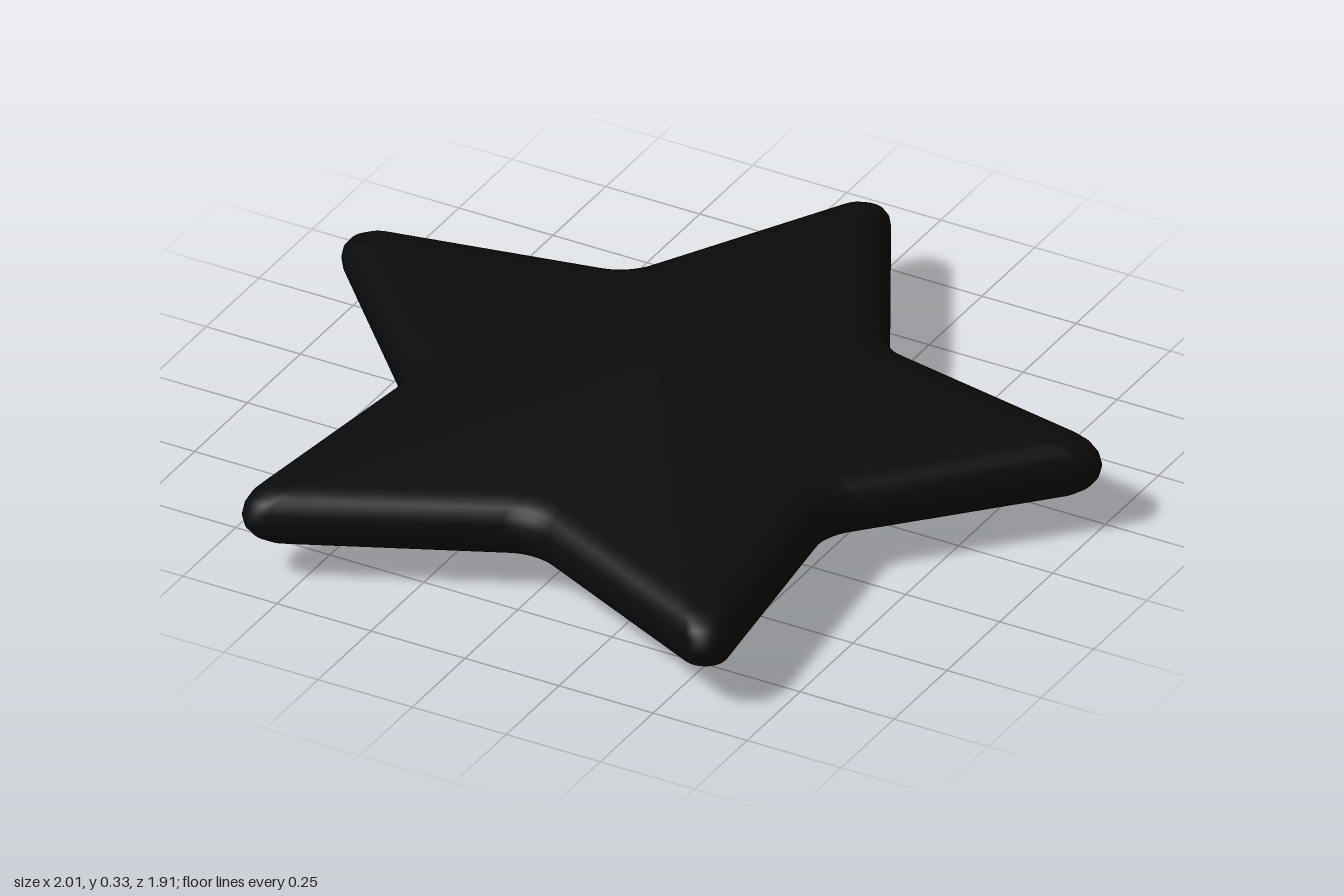
import * as THREE from 'three';

const TIP = 1.11, VALLEY = 0.595;      // radii of the sharp star corners
const CENTRE_Z = 0.094, MID_Y = 0.165;

// Five-pointed outline with every corner rounded by a near-circular curve
function starOutline() {
  const corners = [];
  for (let i = 0; i < 10; i++) {
    const a = (i * Math.PI) / 5, r = i % 2 ? VALLEY : TIP;
    corners.push(new THREE.Vector2(Math.sin(a) * r, -Math.cos(a) * r));
  }
  const shape = new THREE.Shape();
  corners.forEach((c, i) => {
    const isTip = i % 2 === 0;
    const cut = isTip ? 0.1 : 0.07, handle = cut * (1 - (isTip ? 0.446 : 0.636));
    const toPrev = corners[(i + 9) % 10].clone().sub(c).normalize();
    const toNext = corners[(i + 1) % 10].clone().sub(c).normalize();
    const at = (dir, d) => c.clone().addScaledVector(dir, d);
    const start = at(toPrev, cut), end = at(toNext, cut);
    const h1 = at(toPrev, handle), h2 = at(toNext, handle);
    if (i === 0) shape.moveTo(start.x, start.y);
    else shape.lineTo(start.x, start.y);
    shape.bezierCurveTo(h1.x, h1.y, h2.x, h2.y, end.x, end.y);
  });
  shape.closePath();
  const points = shape.getPoints(14);
  if (points[0].distanceTo(points[points.length - 1]) < 1e-5) points.pop();
  return points;
}

// Upper half of the section from centre to rim: [outline scale, height]
const half = [
  [0, 0.165], [0.03, 0.165], [0.06, 0.1635], [0.1, 0.159], [0.3, 0.138],
  [0.5, 0.117], [0.7, 0.096], [0.85, 0.0805], [0.89, 0.076], [0.925, 0.07],
  [0.955, 0.06], [0.978, 0.046], [0.994, 0.025], [1, 0],
];

// Stack scaled copies of the outline, from the top centre round the rim to the bottom
function starGeometry() {
  const outline = starOutline(), n = outline.length;
  const section = [...half, ...half.slice(0, -1).reverse().map(([s, y]) => [s, -y])];
  const positions = [], index = [];
  section.forEach(([s, y], i) => {
    outline.forEach((p, j) => {
      positions.push(p.x * s, y, p.y * s);
      if (i === section.length - 1) return;
      const k = (j + 1) % n;
      const a = i * n + j, d = i * n + k, b = a + n, c = d + n;
      if (i > 0) index.push(a, d, c);
      if (i < section.length - 2) index.push(a, c, b);
      else if (i === 0) index.push(a, c, b);
    });
  });
  const g = new THREE.BufferGeometry();
  g.setAttribute('position', new THREE.Float32BufferAttribute(positions, 3));
  g.setIndex(index);
  g.computeVertexNormals();
  return g;
}

export function createModel() {
  const group = new THREE.Group();
  group.name = 'star';
  const body = new THREE.Mesh(starGeometry(), new THREE.MeshStandardMaterial({ color: 0x0a0a0a }));
  body.name = 'starBody';
  body.position.set(0, MID_Y, CENTRE_Z);
  group.add(body);
  return group;
}
